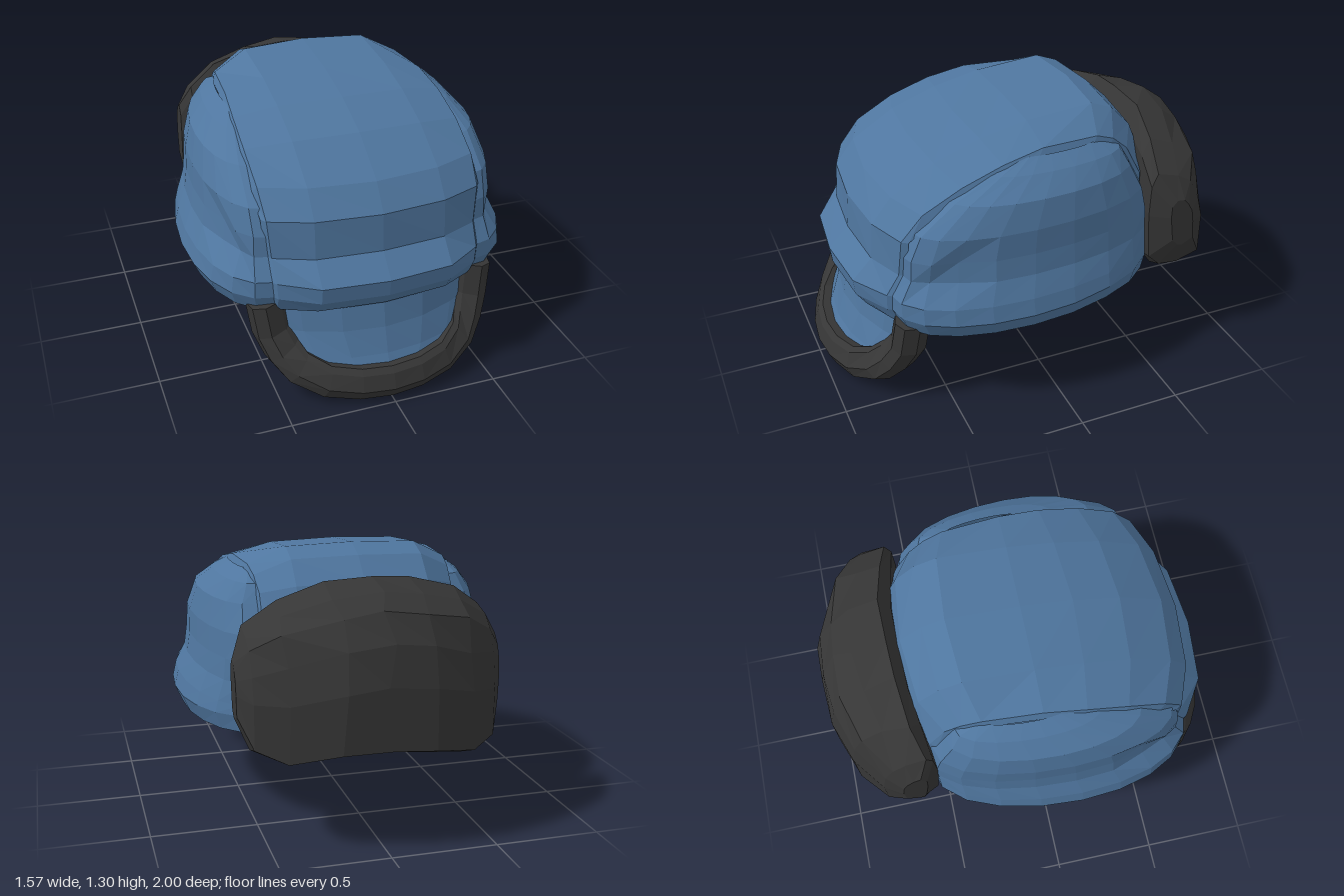
import * as THREE from 'three';

const blue = new THREE.MeshStandardMaterial({ color: 0x4f769f, flatShading: true, side: THREE.DoubleSide });
blue.name = 'blue cloth';
const dark = new THREE.MeshStandardMaterial({ color: 0x363636, flatShading: true, side: THREE.DoubleSide });
dark.name = 'dark fur';

// Skin a faceted surface over rows of [x, y, z] points
function loft(name, rows, material, { closed = false, flip = false } = {}) {
  const out = [];
  const tri = (a, b, c) => {
    const [p, q, r] = [a, b, c].map(v => new THREE.Vector3(...v));
    if (q.clone().sub(p).cross(r.clone().sub(p)).length() < 1e-7) return;
    out.push(...a, ...(flip ? c : b), ...(flip ? b : c));
  };
  for (let i = 0; i < rows.length - 1; i++) {
    const n = rows[i].length;
    for (let j = 0; j < (closed ? n : n - 1); j++) {
      const k = (j + 1) % n;
      tri(rows[i][j], rows[i][k], rows[i + 1][k]);
      tri(rows[i][j], rows[i + 1][k], rows[i + 1][j]);
    }
  }
  const geometry = new THREE.BufferGeometry();
  geometry.setAttribute('position', new THREE.Float32BufferAttribute(out, 3));
  geometry.computeVertexNormals();
  const mesh = new THREE.Mesh(geometry, material);
  mesh.name = name;
  return mesh;
}

const mirrorX = ([x, y, z]) => [-x, y, z];

// Collapse the first and last rows to a point so that a tube is closed
function capEnds(rows) {
  const centre = row => {
    const c = [0, 1, 2].map(k => row.reduce((s, p) => s + p[k], 0) / row.length);
    return row.map(() => c);
  };
  return [centre(rows[0]), ...rows, centre(rows[rows.length - 1])];
}

// Arch profiles [z, y] of the middle panel, from front hem over the top to the back hem
const archCentre = [[.84, .45], [.89, .52], [.9, .6], [.8, .7], [.79, .88], [.7, 1], [.48, 1.14],
  [.25, 1.22], [0, 1.27], [-.35, 1.3], [-.46, 1.255], [-.57, 1.15], [-.68, .9], [-.7, .5]];
const archMid = [[.81, .45], [.86, .52], [.87, .6], [.775, .7], [.76, .88], [.665, 1], [.455, 1.13],
  [.23, 1.21], [0, 1.26], [-.33, 1.288], [-.44, 1.245], [-.54, 1.14], [-.64, .9], [-.66, .5]];
const archSeam = [[.72, .44], [.76, .52], [.76, .6], [.7, .7], [.685, .88], [.585, 1], [.4, 1.1],
  [.2, 1.17], [0, 1.21], [-.28, 1.205], [-.37, 1.17], [-.45, 1.1], [-.53, .95], [-.56, .5]];
// Half width of the panel at each seam point
const seamX = [.475, .48, .485, .49, .505, .515, .52, .515, .5, .48, .47, .46, .46, .46];

function middlePanel() {
  const seam = archSeam.map(([z, y], i) => [seamX[i], y, z]);
  // Folded edge that tucks the panel under the seam
  const edge = seam.map(([x, y, z], i) => [x + .02, y - (i > 4 && i < 12 ? .035 : 0), z - (i < 8 ? .03 : -.03)]);
  const half = [edge, seam, archMid.map(([z, y]) => [.31, y, z])];
  const rows = [...half, archCentre.map(([z, y]) => [0, y, z]), ...half.map(r => r.map(mirrorX)).reverse()];
  return loft('middlePanel', rows, blue);
}

// Side panel levels: height, seam x, front z, half width, back z
const levels = [[.44, .465, .71, .75, -.55], [.52, .47, .745, .785, -.56], [.6, .475, .745, .765, -.56],
  [.7, .48, .69, .72, -.56], [.8, .485, .685, .705, -.56], [.92, .495, .635, .7, -.53],
  [1.05, .505, .465, .668, -.46], [1.135, .5, .27, .59, -.41], [1.185, .49, .12, .52, -.3]];

function sideRows() {
  const steps = 10;
  return levels.map(([y, xf, zf, w, zb], r) => {
    const row = [];
    for (let j = 0; j <= steps; j++) {
      const a = Math.PI * j / steps;
      const s = Math.max(0, Math.sin(a));
      const base = xf + (.445 - xf) * j / steps;
      // The widest point sits a little ahead of the middle
      const z = (zf + zb) / 2 + (zf - zb) / 2 * Math.cos(a) + .06 * s * s;
      const lift = y < .6 ? .06 * Math.max(0, -z) : 0;
      // Pinched fold near the front of the side
      const fold = (r === 3 && (j === 2 || j === 3)) || (r === 4 && j === 3) ? .025 : 0;
      row.push([base + (w - base) * Math.pow(s, j < steps / 2 ? .9 : .8) - fold, y + lift, z]);
    }
    return row;
  });
}

// Hem and hollow inside of the crown, with a nearly flat ceiling
function lining(side) {
  const right = [[.31, .45, .81], ...side[0], [.31, .5, -.66]];
  const outline = [[0, .45, .84], ...right, [0, .5, -.7], ...right.map(mirrorX).reverse()];
  const ring = (s, lift) => outline.map(([x, y, z]) => [x * s, y + lift, .06 + (z - .06) * s]);
  const rows = [outline, ring(.9, .015), ring(.5, .45), outline.map(() => [0, .94, .06])];
  return loft('lining', rows, blue, { closed: true, flip: true });
}

// Visor with a blue face, a dark underside and a thick fur edge
function visor() {
  const group = new THREE.Group();
  group.name = 'visor';
  const shape = [[.46, .5, .825, .67], [.32, .49, .85, .69], [.2, .43, .89, .775], [.11, .32, .935, .865]];
  const sheet = offset => shape.map(([y, half, zc, ze]) =>
    [-1, -.75, -.4, 0, .4, .75, 1].map(u => [u * half, y, zc - (zc - ze) * u * u + offset]));
  group.add(loft('visorFace', sheet(0), blue, { flip: true }));
  group.add(loft('visorUnderside', sheet(-.035), dark));

  const half = [[.53, .47, .675], [.51, .32, .695], [.475, .235, .74], [.42, .16, .8], [.3, .1, .87], [.15, .08, .915]];
  const path = [...half, [0, .075, .93], ...half.map(mirrorX).reverse()];
  const section = [[-.095, .02], [-.07, .045], [.005, .068], [.06, .04], [.075, -.03], [.05, -.085], [-.03, -.1], [-.08, -.06]];
  const rows = path.map(([x, y, z], i) => {
    const a = path[Math.max(0, i - 1)], b = path[Math.min(path.length - 1, i + 1)];
    const l = Math.hypot(b[0] - a[0], b[1] - a[1]);
    const nx = -(b[1] - a[1]) / l, ny = (b[0] - a[0]) / l;
    return section.map(([n, d]) => [x + nx * n, y + ny * n, z + d]);
  });
  group.add(loft('visorTrim', capEnds(rows), dark, { closed: true, flip: true }));
  return group;
}

// Lumpy fur flap wrapped around the back
function backFlap() {
  let seed = 7;
  const rand = () => (seed = (seed * 16807) % 2147483647) / 2147483647 - .5;
  // Slices: x, bottom, top, inner z, outer z
  const slices = [[.63, .6, .86, -.63, -.75], [.57, .46, .98, -.53, -.83], [.43, .39, 1.09, -.54, -.91],
    [.2, .42, 1.17, -.57, -.99], [0, .44, 1.19, -.58, -1], [-.2, .41, 1.17, -.57, -.99],
    [-.4, .38, 1.12, -.54, -.92], [-.55, .4, 1.03, -.51, -.79], [-.61, .56, .9, -.58, -.7]];
  // Section: depth from inner to outer, height from bottom to top
  const section = [[.03, .9], [.14, 1], [.5, .95], [.76, .86], [.9, .68], [1, .45], [1, .08], [.6, 0], [.28, 0], [.1, .12], [0, .6]];
  const rows = slices.map(([x, y0, y1, zi, zo]) => section.map(([d, h]) => [
    x + (Math.abs(x) < .5 ? rand() * .04 : 0),
    y0 + (y1 - y0) * h + rand() * .02,
    Math.max(-1, zi + (zo - zi) * d + rand() * .02)]));
  return loft('backFlap', capEnds(rows), dark, { closed: true });
}

export function createModel() {
  const model = new THREE.Group();
  model.name = 'earflapCap';
  const side = sideRows();
  model.add(
    middlePanel(),
    loft('leftPanel', side, blue),
    loft('rightPanel', side.map(r => r.map(mirrorX)), blue, { flip: true }),
    lining(side),
    visor(),
    backFlap());
  return model;
}
